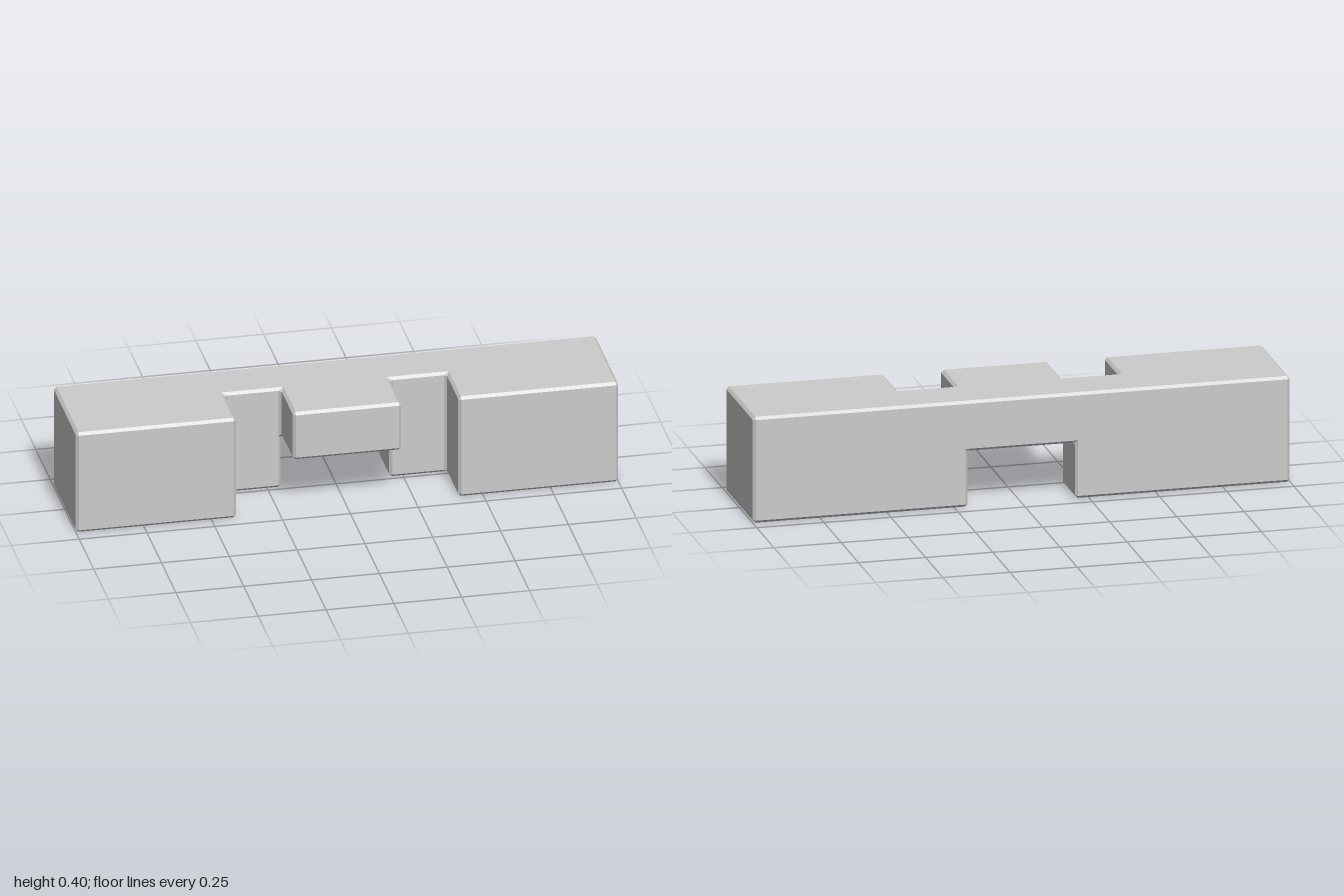
import * as THREE from 'three';

// Cell boundaries of the notched bar and the width of its chamfer
const GRID = [
  [-1, -0.41, -0.2, 0.2, 0.41, 1],
  [0, 0.21, 0.4],
  [-0.2, -0.01, 0.2],
];
const CHAMFER = 0.01;

// Which cells are wood: a slot under the middle, two notches in the front
function solid([i, j, k]) {
  if (i < 0 || j < 0 || k < 0 || i > 4 || j > 1 || k > 1) return false;
  if (i === 2 && j === 0) return false;
  if ((i === 1 || i === 3) && k === 1) return false;
  return true;
}

const moved = (p, axis, d) => p.map((v, n) => (n === axis ? v + d : v));

// Is the side of this cell facing (axis, sign) on the surface?
const exposed = (cell, axis, sign) => solid(cell) && !solid(moved(cell, axis, sign));

// Corner of a face, drawn back from the edges that meet there
function faceCorner(cell, axis, sign, corner) {
  const u = (axis + 1) % 3, v = (axis + 2) % 3;
  const sum = [0, 0, 0];
  for (const a of [-1, 0]) for (const b of [-1, 0]) {
    const c = [...cell];
    c[u] = corner[u] + a;
    c[v] = corner[v] + b;
    if (exposed(c, axis, sign)) {
      sum[u] += a ? -1 : 1;
      sum[v] += b ? -1 : 1;
    }
  }
  return new THREE.Vector3(...corner.map((n, d) => GRID[d][n] + Math.sign(sum[d]) * CHAMFER));
}

// Convex polygon from loose points, wound counterclockwise about its normal
function addPolygon(positions, points, normal) {
  const unique = points.filter((p, n) => points.findIndex((q) => q.distanceTo(p) < 1e-5) === n);
  if (unique.length < 3) return;
  const n = normal.clone().normalize();
  const centre = unique.reduce((s, p) => s.add(p), new THREE.Vector3()).divideScalar(unique.length);
  const e1 = unique[0].clone().sub(centre).projectOnPlane(n).normalize();
  const e2 = n.clone().cross(e1);
  const angle = (p) => {
    const d = p.clone().sub(centre);
    return Math.atan2(d.dot(e2), d.dot(e1));
  };
  unique.sort((p, q) => angle(p) - angle(q));
  for (let i = 1; i < unique.length - 1; i++) {
    for (const p of [unique[0], unique[i], unique[i + 1]]) positions.push(p.x, p.y, p.z);
  }
}

function chamferedBar() {
  const positions = [];
  const joints = new Map(); // chamfer strips along edges and caps at corners
  const join = (key, points, normal) => {
    if (!joints.has(key)) joints.set(key, { points: [], normal: new THREE.Vector3() });
    const joint = joints.get(key);
    joint.points.push(...points);
    joint.normal.add(normal);
  };

  for (let i = 0; i < 5; i++) for (let j = 0; j < 2; j++) for (let k = 0; k < 2; k++) {
    const cell = [i, j, k];
    for (let axis = 0; axis < 3; axis++) for (const sign of [-1, 1]) {
      if (!exposed(cell, axis, sign)) continue;
      const u = (axis + 1) % 3, v = (axis + 2) % 3;
      const normal = new THREE.Vector3().setComponent(axis, sign);
      const base = moved(cell, axis, sign > 0 ? 1 : 0);
      const corners = [[0, 0], [1, 0], [1, 1], [0, 1]].map(([a, b]) => moved(moved(base, u, a), v, b));
      const points = corners.map((c) => faceCorner(cell, axis, sign, c));
      addPolygon(positions, points, normal);
      corners.forEach((c, n) => {
        const m = (n + 1) % 4;
        const edge = [c.join(), corners[m].join()].sort().join('|');
        join(edge, [points[n], points[m]], normal);
        join(c.join(), [points[n]], normal);
      });
    }
  }
  for (const { points, normal } of joints.values()) addPolygon(positions, points, normal);

  const geometry = new THREE.BufferGeometry();
  geometry.setAttribute('position', new THREE.Float32BufferAttribute(positions, 3));
  geometry.computeVertexNormals();
  return geometry;
}

export function createModel() {
  const group = new THREE.Group();
  group.name = 'puzzlePiece';
  const material = new THREE.MeshStandardMaterial({ color: 0xcccccc, flatShading: true });
  const bar = new THREE.Mesh(chamferedBar(), material);
  bar.name = 'notchedBar';
  group.add(bar);
  return group;
}
